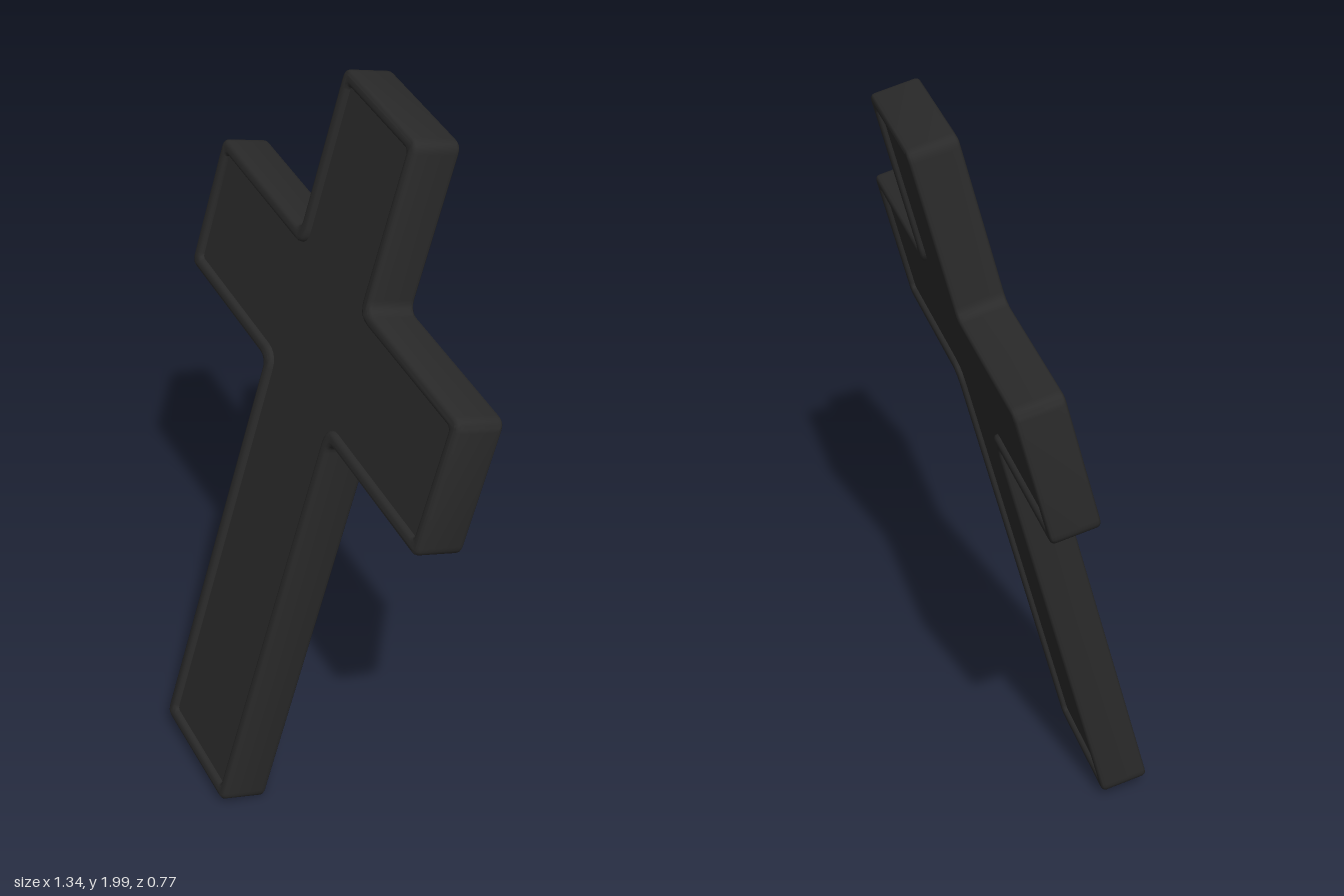
import * as THREE from 'three';
import { toCreasedNormals } from 'three/addons/utils/BufferGeometryUtils.js';

const SHAFT_LENGTH = 2.01, SHAFT_WIDTH = 0.395;
const ARM_SPAN = 1.37, ARM_HEIGHT = 0.385, ARM_CENTRE = 0.357;
const THICKNESS = 0.128, RIM = 0.036, CORNER = 0.03, ROUND = 0.012, RECESS = 0.013;

// Rounded cross outline, moved inwards by inset
function traceCross(path, inset) {
  const w = SHAFT_WIDTH / 2 - inset, s = ARM_SPAN / 2 - inset;
  const y0 = -SHAFT_LENGTH / 2 + inset, y3 = SHAFT_LENGTH / 2 - inset;
  const y1 = ARM_CENTRE - ARM_HEIGHT / 2 + inset, y2 = ARM_CENTRE + ARM_HEIGHT / 2 - inset;
  const half = [[w, y0], [w, y1], [s, y1], [s, y2], [w, y2], [w, y3]];
  const mirrored = half.map(([x, y]) => [-x, y]).reverse();
  const pts = [...half, ...mirrored].map(([x, y]) => new THREE.Vector2(x, y));
  pts.forEach((p, i) => {
    const before = pts[(i + 11) % 12], after = pts[(i + 1) % 12];
    const a = before.clone().sub(p).normalize(), b = after.clone().sub(p).normalize();
    const concave = a.cross(b) > 0; // notch corners turn the other way
    const r = Math.max(0.012, CORNER + (concave ? inset : -inset) * 0.6);
    a.multiplyScalar(r).add(p);
    b.multiplyScalar(r).add(p);
    if (i === 0) path.moveTo(a.x, a.y);
    else path.lineTo(a.x, a.y);
    path.quadraticCurveTo(p.x, p.y, b.x, b.y);
  });
  path.closePath();
  return path;
}

export function createModel() {
  const group = new THREE.Group();
  group.name = 'cross';
  const material = new THREE.MeshStandardMaterial({ color: 0x2a2a2a });

  // Raised rim with softened inner and outer edges
  const rimShape = traceCross(new THREE.Shape(), 0);
  rimShape.holes.push(traceCross(new THREE.Path(), RIM));
  const rimGeometry = new THREE.ExtrudeGeometry(rimShape, {
    depth: THICKNESS - 2 * ROUND, curveSegments: 5,
    bevelEnabled: true, bevelThickness: ROUND, bevelSize: ROUND, bevelOffset: -ROUND, bevelSegments: 3,
  });
  rimGeometry.translate(0, 0, -THICKNESS / 2 + ROUND);
  const rim = new THREE.Mesh(toCreasedNormals(rimGeometry, 0.7), material);
  rim.name = 'rim';

  // Recessed panels on the front and the back
  const panelDepth = THICKNESS - 2 * RECESS;
  const panelGeometry = new THREE.ExtrudeGeometry(traceCross(new THREE.Shape(), RIM - 0.004), {
    depth: panelDepth, curveSegments: 5, bevelEnabled: false,
  });
  panelGeometry.translate(0, 0, -panelDepth / 2);
  const panel = new THREE.Mesh(panelGeometry, material);
  panel.name = 'panel';

  // Lean and turn of the whole cross
  const across = new THREE.Vector3(0.911, -0.058, 0.406).normalize();
  const facing = across.clone().cross(new THREE.Vector3(0.15, 0.968, -0.2)).normalize();
  const up = facing.clone().cross(across);
  const body = new THREE.Group();
  body.name = 'leaningCross';
  body.quaternion.setFromRotationMatrix(new THREE.Matrix4().makeBasis(across, up, facing));
  body.position.set(-0.055, 1.0, 0.052);
  body.add(rim, panel);
  group.add(body);
  return group;
}
